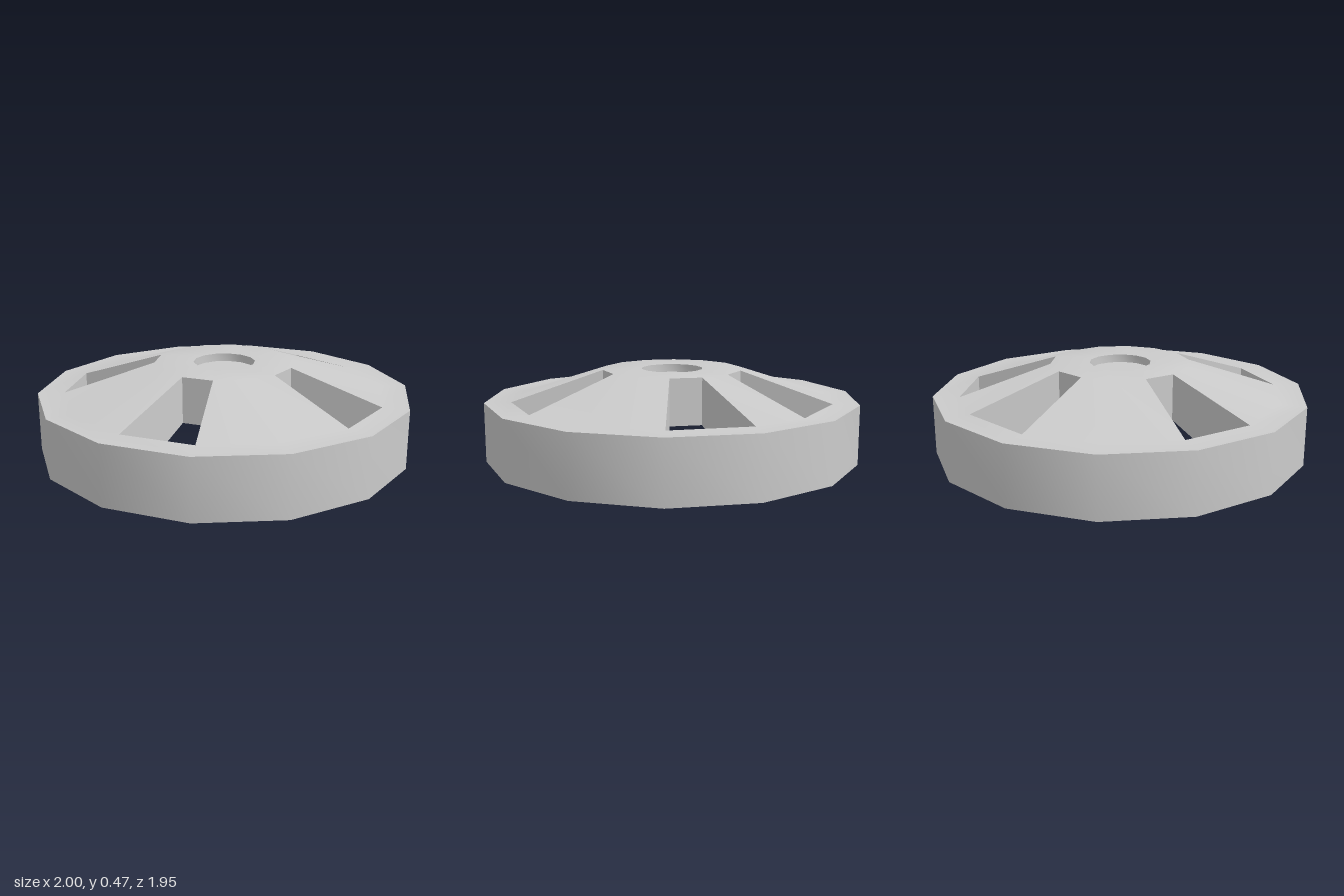
import * as THREE from 'three';
import { toCreasedNormals } from 'three/addons/utils/BufferGeometryUtils.js';

const SIDES = 14;
const SLOTS = [0, 3, 6, 9, 11]; // sectors left open

// Cross-section points: [radius, height]
const P = {
  rimBottom: [1, 0], rimTop: [1, 0.315],
  lipTop: [0.86, 0.315], lipBottom: [0.86, 0],
  hubTop: [0.375, 0.473], hubBottom: [0.375, 0.23],
  holeTop: [0.165, 0.473], floorTop: [0.165, 0.43], centreTop: [0, 0.43],
  holeBottom: [0.165, 0.23], floorBottom: [0.165, 0.27], centreBottom: [0, 0.27],
};

// Place a cross-section point at corner i; the two rear slots open slightly wider
function corner(i, [r, y]) {
  const k = i % SIDES;
  let a = (k / SIDES) * Math.PI * 2;
  if (r === 0.86 && k === 10) a += 0.042;
  if (r === 0.86 && k === 11) a -= 0.042;
  return new THREE.Vector3(r * Math.cos(a), y, r * Math.sin(a));
}

export function createModel() {
  const positions = [];
  const ranges = [];

  const tri = (a, b, c) => {
    if (new THREE.Triangle(a, b, c).getArea() < 1e-7) return;
    for (const v of [a, b, c]) positions.push(v.x, v.y, v.z);
  };
  const quad = (a, b, c, d) => { tri(a, b, c); tri(a, c, d); };
  // Sweep the profile segments of one sector
  const sweep = (i, ...pts) => {
    for (let k = 0; k < pts.length - 1; k++) {
      quad(corner(i, pts[k]), corner(i, pts[k + 1]),
        corner(i + 1, pts[k + 1]), corner(i + 1, pts[k]));
    }
  };
  const part = (name, build) => {
    const start = positions.length;
    for (let i = 0; i < SIDES; i++) build(i);
    ranges.push([name, start, positions.length]);
  };

  // Flat-lipped outer rim
  part('rim', (i) => {
    sweep(i, P.lipBottom, P.rimBottom, P.rimTop, P.lipTop);
    if (SLOTS.includes(i)) sweep(i, P.lipTop, P.lipBottom);
  });

  // Sloping web, with side walls wherever a slot cuts through
  part('spokes', (i) => {
    if (!SLOTS.includes(i)) {
      sweep(i, P.lipTop, P.hubTop);
      sweep(i, P.hubBottom, P.lipBottom);
      return;
    }
    const section = [P.lipTop, P.hubTop, P.hubBottom, P.lipBottom];
    quad(...section.map((p) => corner(i, p)));
    quad(...section.map((p) => corner(i + 1, p)).reverse());
  });

  // Raised hub with a shallow round recess above and below
  part('hub', (i) => {
    sweep(i, P.hubTop, P.holeTop, P.floorTop, P.centreTop);
    sweep(i, P.centreBottom, P.floorBottom, P.holeBottom, P.hubBottom);
    if (SLOTS.includes(i)) sweep(i, P.hubBottom, P.hubTop);
  });

  // Shade the whole body together, then split it into its parts
  const body = new THREE.BufferGeometry();
  body.setAttribute('position', new THREE.Float32BufferAttribute(positions, 3));
  const shaded = toCreasedNormals(body, 0.55);

  const group = new THREE.Group();
  group.name = 'slottedWheel';
  const material = new THREE.MeshStandardMaterial({ color: 0xcccccc });
  for (const [name, start, end] of ranges) {
    const geometry = new THREE.BufferGeometry();
    for (const key of ['position', 'normal']) {
      const data = shaded.getAttribute(key).array.slice(start, end);
      geometry.setAttribute(key, new THREE.BufferAttribute(data, 3));
    }
    const mesh = new THREE.Mesh(geometry, material);
    mesh.name = name;
    group.add(mesh);
  }
  return group;
}
